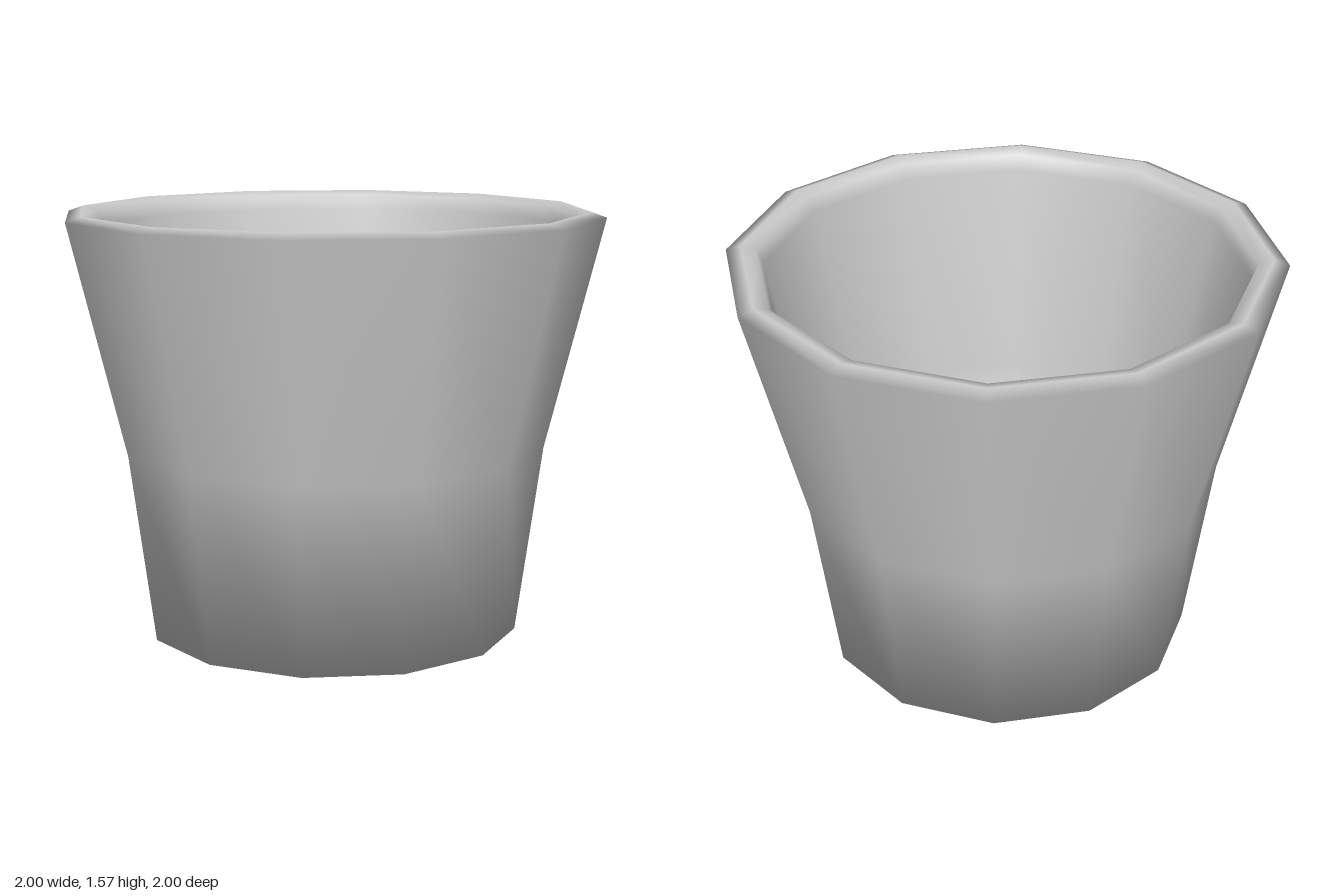
import * as THREE from 'three';

const SIDES = 12;

export function createModel() {
  const group = new THREE.Group();
  group.name = 'cup';

  // Closed profile [radius, height]: base, outer wall, rim, inner wall, floor
  const profile = [
    [0, 0], [0.695, 0],
    [0.79, 0.70], [1.0, 1.55],
    [0.945, 1.57], [0.89, 1.555],
    [0.87, 1.5], [0.70, 0.72],
    [0.61, 0.1], [0, 0.1],
  ].map(([r, y]) => new THREE.Vector2(r, y));

  // Twelve-sided shell with smooth normals
  const cup = new THREE.Mesh(
    new THREE.LatheGeometry(profile, SIDES),
    new THREE.MeshStandardMaterial({ color: 0xcccccc })
  );
  cup.name = 'cupShell';
  group.add(cup);

  return group;
}
